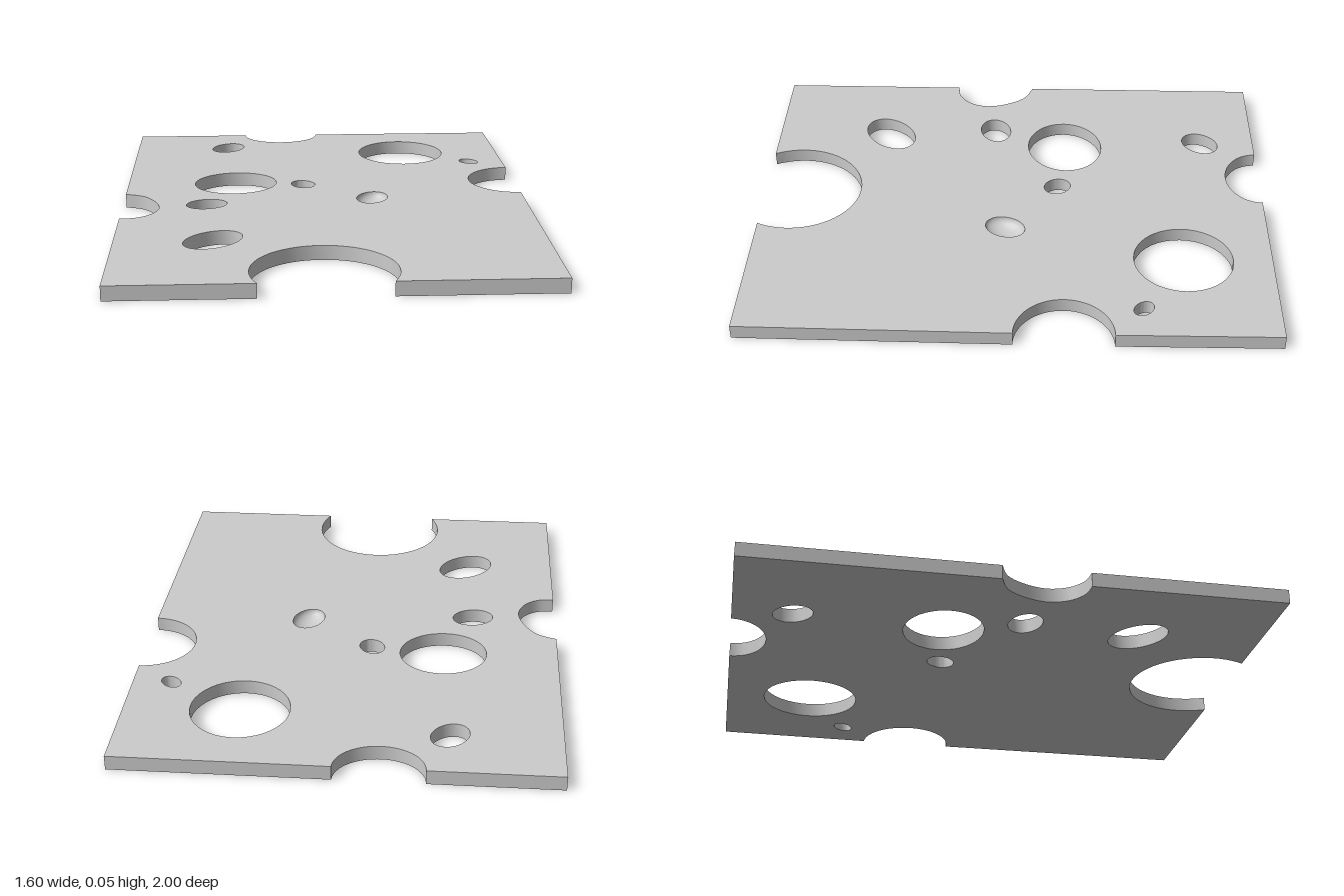
import * as THREE from 'three';
import { mergeGeometries, toCreasedNormals } from 'three/addons/utils/BufferGeometryUtils.js';

const H = 0.055; // slice thickness

// Points (x, z) along a tilted ellipse, from angle t0 to t1
function arc(cx, cz, a, b, tilt = 0, t0 = 0, t1 = -2 * Math.PI, n = 40) {
  const c = Math.cos(tilt), s = Math.sin(tilt);
  return Array.from({ length: n + 1 }, (_, i) => {
    const t = t0 + (t1 - t0) * i / n, u = a * Math.cos(t), v = b * Math.sin(t);
    return new THREE.Vector2(cx + u * c - v * s, cz + u * s + v * c);
  });
}
const ring = (...e) => arc(...e).slice(0, -1);
const pts = list => list.map(([x, z]) => new THREE.Vector2(x, z));

// Vertical wall under a closed loop of points
function wall(loop) {
  const pos = [], index = [], n = loop.length;
  loop.forEach((p, i) => {
    pos.push(p.x, H, p.y, p.x, 0, p.y);
    const a = 2 * i, b = 2 * ((i + 1) % n);
    index.push(a, b, a + 1, b, b + 1, a + 1);
  });
  const g = new THREE.BufferGeometry();
  g.setAttribute('position', new THREE.Float32BufferAttribute(pos, 3));
  g.setIndex(index);
  return g;
}

// Flat face of the slice at height y
function cap(outline, holes, y, up) {
  const shape = new THREE.Shape(outline);
  shape.holes = holes.map(h => new THREE.Path(h));
  const g = new THREE.ShapeGeometry(shape).rotateX(Math.PI / 2).translate(0, y, 0);
  g.deleteAttribute('uv');
  g.deleteAttribute('normal');
  if (up) g.setIndex(Array.from(g.index.array).reverse());
  return g;
}

export function createModel() {
  const group = new THREE.Group();
  const material = new THREE.MeshStandardMaterial({ color: 0xcccccc });
  const P = Math.PI;

  // Slice outline with a bite in each edge
  const leftBite = new THREE.SplineCurve(pts([[-0.805, 0.26], [-0.74, 0.25], [-0.685, 0.205],
    [-0.66, 0.13], [-0.68, 0.045], [-0.73, -0.03], [-0.805, -0.065]])).getPoints(30);
  const outline = [
    ...pts([[-0.805, -1]]),
    ...arc(-0.162, -1, 0.163, 0.135, 0, P, 0),
    ...pts([[0.79, -1]]),
    ...arc(0.795, -0.205, 0.187, 0.185, 0, -P / 2, -1.5 * P),
    ...pts([[0.787, 1]]),
    ...arc(-0.047, 0.88, 0.262, 0.265, 0, 0.47, -P - 0.47),
    ...pts([[-0.805, 1]]),
    ...leftBite,
  ];

  // Through holes: x, z, radii, tilt
  const holes = [
    [0.365, -0.66, 0.184, 0.19, 0],
    [-0.402, -0.777, 0.08, 0.063, -0.9],
    [-0.363, -0.208, 0.168, 0.152, -0.15],
    [-0.085, -0.178, 0.055, 0.047, 1.05],
    [0.649, -0.498, 0.044, 0.032, 0.75],
    [-0.475, 0.085, 0.081, 0.062, -0.25],
    [-0.44, 0.53, 0.124, 0.087, -0.73],
  ].map(h => ring(...h));

  // Shallow dimple, open only on the top face
  const dimple = { x: 0.185, z: 0.025, a: 0.08, b: 0.06, tilt: -1.2, depth: 0.04 };
  const rim = ring(dimple.x, dimple.z, dimple.a, dimple.b, dimple.tilt);

  const slice = new THREE.Mesh(toCreasedNormals(mergeGeometries([
    cap(outline, [...holes, rim], H, true),
    cap(outline, holes, 0, false),
    ...[outline, ...holes].map(wall),
  ]), 0.6), material);
  slice.name = 'slice';
  group.add(slice);

  const profile = Array.from({ length: 11 }, (_, i) => {
    const t = i / 10 * P / 2;
    return new THREE.Vector2(Math.cos(t), -dimple.depth * Math.sin(t));
  });
  const bowl = new THREE.LatheGeometry(profile, 40)
    .scale(dimple.a, 1, dimple.b).rotateY(-dimple.tilt).translate(dimple.x, H, dimple.z);
  const dimpleMesh = new THREE.Mesh(bowl, material);
  dimpleMesh.name = 'dimple';
  group.add(dimpleMesh);

  return group;
}
